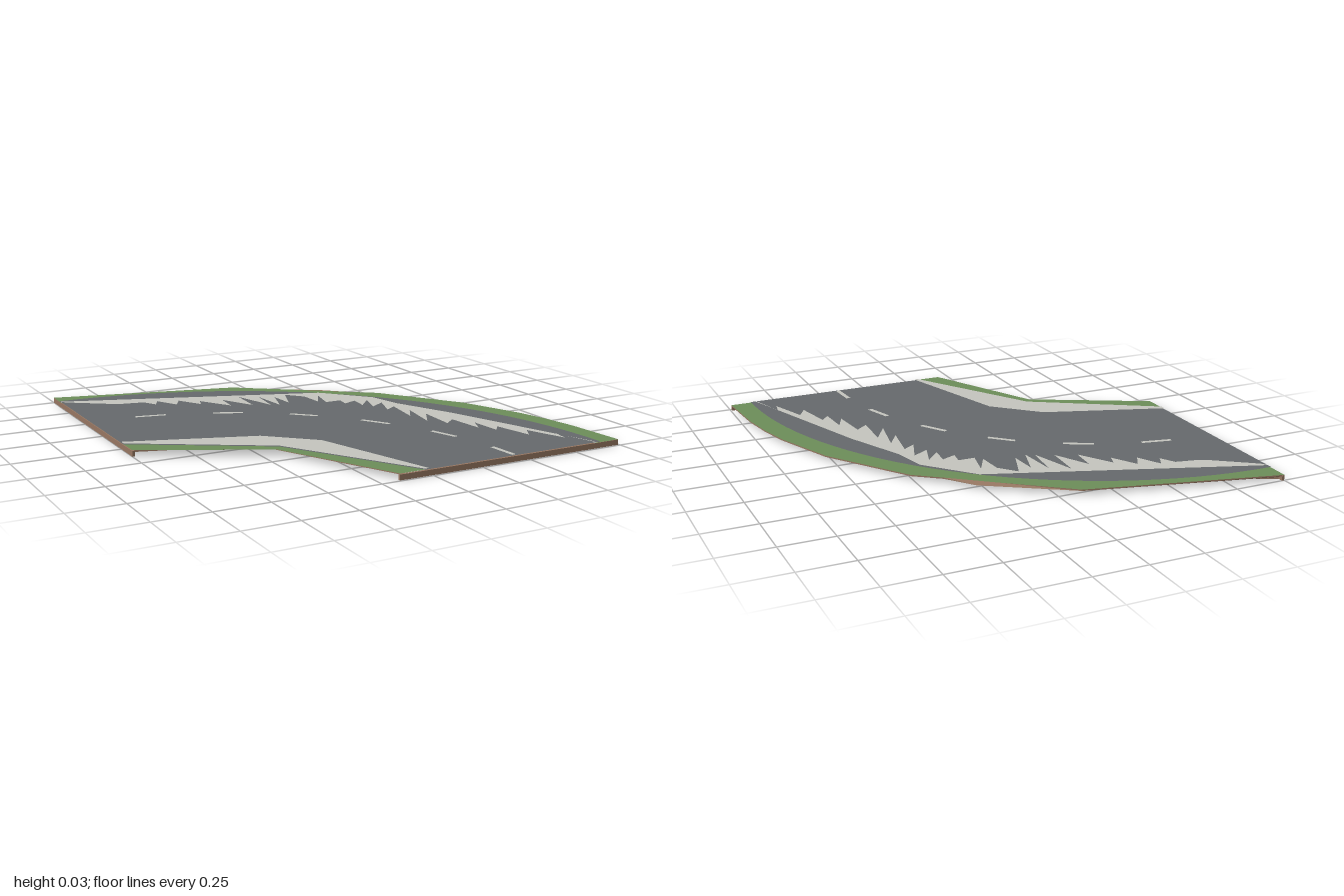
import * as THREE from 'three';

const mat = (name, color) => {
  const m = new THREE.MeshStandardMaterial({ color, side: THREE.DoubleSide });
  m.name = name;
  return m;
};

export function createModel() {
  const group = new THREE.Group();
  const asphalt = mat('asphalt', 0x666a6d);
  const paint = mat('pale paint', 0xc6c6bf);
  const grass = mat('grass', 0x6d8e5a);
  const earth = mat('earth', 0x977762);

  const add = (name, geometry, material) => {
    const mesh = new THREE.Mesh(geometry, material);
    mesh.name = name;
    group.add(mesh);
  };
  // Flat sheet from [x, z] points at height y
  const sheet = (name, pts, y, material) => {
    const shape = new THREE.Shape(pts.map(([x, z]) => new THREE.Vector2(x, -z)));
    add(name, new THREE.ShapeGeometry(shape).rotateX(-Math.PI / 2).translate(0, y, 0), material);
  };
  // Strip joining an upper and a lower line with the same number of points
  const strip = (name, top, yTop, bottom, yBottom, material) => {
    const v = [];
    for (let i = 0; i < top.length - 1; i++) {
      const a = [top[i][0], yTop, top[i][1]], b = [top[i + 1][0], yTop, top[i + 1][1]];
      const c = [bottom[i][0], yBottom, bottom[i][1]], d = [bottom[i + 1][0], yBottom, bottom[i + 1][1]];
      v.push(...a, ...c, ...b, ...b, ...c, ...d);
    }
    const g = new THREE.BufferGeometry();
    g.setAttribute('position', new THREE.Float32BufferAttribute(v, 3));
    g.computeVertexNormals();
    add(name, g, material);
  };
  const back = (pts) => [...pts].reverse();
  const mix = (a, b, t) => [a[0] + (b[0] - a[0]) * t, a[1] + (b[1] - a[1]) * t];

  const E = 0.993; // position of the front and right limits
  const outerTop = [[-1, -1], [-0.1, -0.78], [0.2, -0.55], [0.39, -0.4], [0.51, -0.31],
    [0.78, 0.08], [0.9, 0.38], [0.94, 0.53], [0.97, 0.7], [E, E]];
  const outerBulge = outerTop.map((p, i) => (i === 2 ? [0.29, -0.53] : p));
  const innerEdge = [[-1, 0.14], [-0.44, 0.43], [-0.16, E]];
  const innerGrass = [[-1, 0.03], [-0.41, 0.39], [-0.04, E]];
  const innerRoad = [[-1, 0], [-0.41, 0.2], [-0.2, 0.4], [-0.02, E]];
  const outerLine = [[-1, -0.88], [0.235, -0.44], [0.43, -0.22], [0.47, -0.05],
    [0.6, 0.24], [0.81, 0.83], [0.87, E]];
  // Inner limits of the verge and shoulder where they run on beneath the road
  const buriedGrass = [[-1, -0.88], [-0.26, -0.46], [0.16, -0.15], [0.46, 0.26], [0.87, E]];
  const buriedPaint = [[-1, -0.87], [-0.29, -0.4], [0.11, -0.09], [0.4, 0.29], [0.86, E]];

  // Road surface: a quarter arc outside, an angular edge inside
  const arc = [];
  for (let i = 0; i <= 32; i++) {
    const a = (i / 32) * Math.PI / 2;
    arc.push([-1 + 1.89 * Math.sin(a), E - 1.893 * Math.cos(a)]);
  }
  sheet('road', [...arc, ...back(innerGrass)], 0.029, asphalt);

  // Grass verges
  sheet('outerVerge', [...outerTop, ...back(buriedGrass)], 0.026, grass);
  sheet('innerVerge', [...innerEdge, ...back(innerGrass)], 0.03, grass);

  // Inner shoulder
  sheet('innerShoulder', [...innerRoad, ...back(innerGrass)], 0.034, paint);

  // Outer shoulder with a ragged inner edge, and its part beneath the road
  const ragged = [
    [-0.98, -0.85], [-0.8, -0.72], [-0.74, -0.69], [-0.64, -0.67], [-0.6, -0.6], [-0.57, -0.66],
    [-0.51, -0.55], [-0.47, -0.62], [-0.4, -0.5], [-0.38, -0.56], [-0.28, -0.4], [-0.27, -0.53],
    [-0.18, -0.36], [-0.17, -0.55], [-0.1, -0.32], [-0.08, -0.5], [-0.06, -0.3], [-0.01, -0.46],
    [0, -0.32], [0.06, -0.48], [0.13, -0.4], [0.14, -0.27], [0.2, -0.38], [0.17, -0.24],
    [0.25, -0.24], [0.24, -0.17], [0.31, -0.2], [0.3, -0.1], [0.37, -0.18], [0.33, -0.05],
    [0.41, -0.1], [0.36, 0.04], [0.42, 0], [0.39, 0.2], [0.45, 0.1], [0.41, 0.32],
    [0.48, 0.2], [0.47, 0.4], [0.53, 0.35], [0.55, 0.54], [0.59, 0.45], [0.6, 0.61],
    [0.64, 0.56], [0.68, 0.75], [0.72, 0.68], [0.79, 0.87], [0.8, 0.8], [0.86, 0.985],
  ];
  sheet('outerShoulder', [...outerLine, ...back(ragged)], 0.0305, paint);
  sheet('buriedShoulder', [...buriedGrass, ...back(buriedPaint)], 0.026, paint);

  // Centre line dashes
  const dashes = [
    [-0.78, -0.41, -0.635, -0.38], [-0.42, -0.305, -0.29, -0.24], [-0.1, -0.11, 0, -0.015],
    [0.145, 0.155, 0.225, 0.28], [0.325, 0.485, 0.37, 0.62], [0.41, 0.84, 0.42, 0.985],
  ];
  for (const [x1, z1, x2, z2] of dashes) {
    const g = new THREE.PlaneGeometry(Math.hypot(x2 - x1, z2 - z1), 0.022).rotateX(-Math.PI / 2);
    g.rotateY(-Math.atan2(z2 - z1, x2 - x1)).translate((x1 + x2) / 2, 0.0305, (z1 + z2) / 2);
    add('centreDash', g, paint);
  }

  // Earth banks sloping in under the verges, each ending in a low lip
  const corner = [0.06, -0.49];
  const outerFold = outerTop.map((p, i) => (i < 4
    ? mix([-1, -0.98], corner, i / 4)
    : mix(corner, [0.97, E], (i - 4) / 5)));
  const innerFold = [[-1, 0.06], [-0.45, 0.23], [-0.08, E]];
  strip('outerBank', outerTop, 0.026, outerBulge, 0.02, earth);
  strip('outerUnderside', outerBulge, 0.02, outerFold, 0.01, earth);
  strip('outerLip', outerFold, 0.012, outerFold, 0, earth);
  strip('innerUnderside', innerEdge, 0.03, innerFold, 0.01, earth);
  strip('innerLip', innerFold, 0.012, innerFold, 0, earth);

  // Cut ends of the tile
  const sideLength = 1.14, frontLength = E + 0.16;
  add('leftCut', new THREE.BoxGeometry(0.012, 0.025, sideLength)
    .translate(-0.994, 0.0125, -1 + sideLength / 2), earth);
  add('frontCut', new THREE.BoxGeometry(frontLength, 0.025, 0.012)
    .translate(E - frontLength / 2, 0.0125, E - 0.006), earth);

  return group;
}
